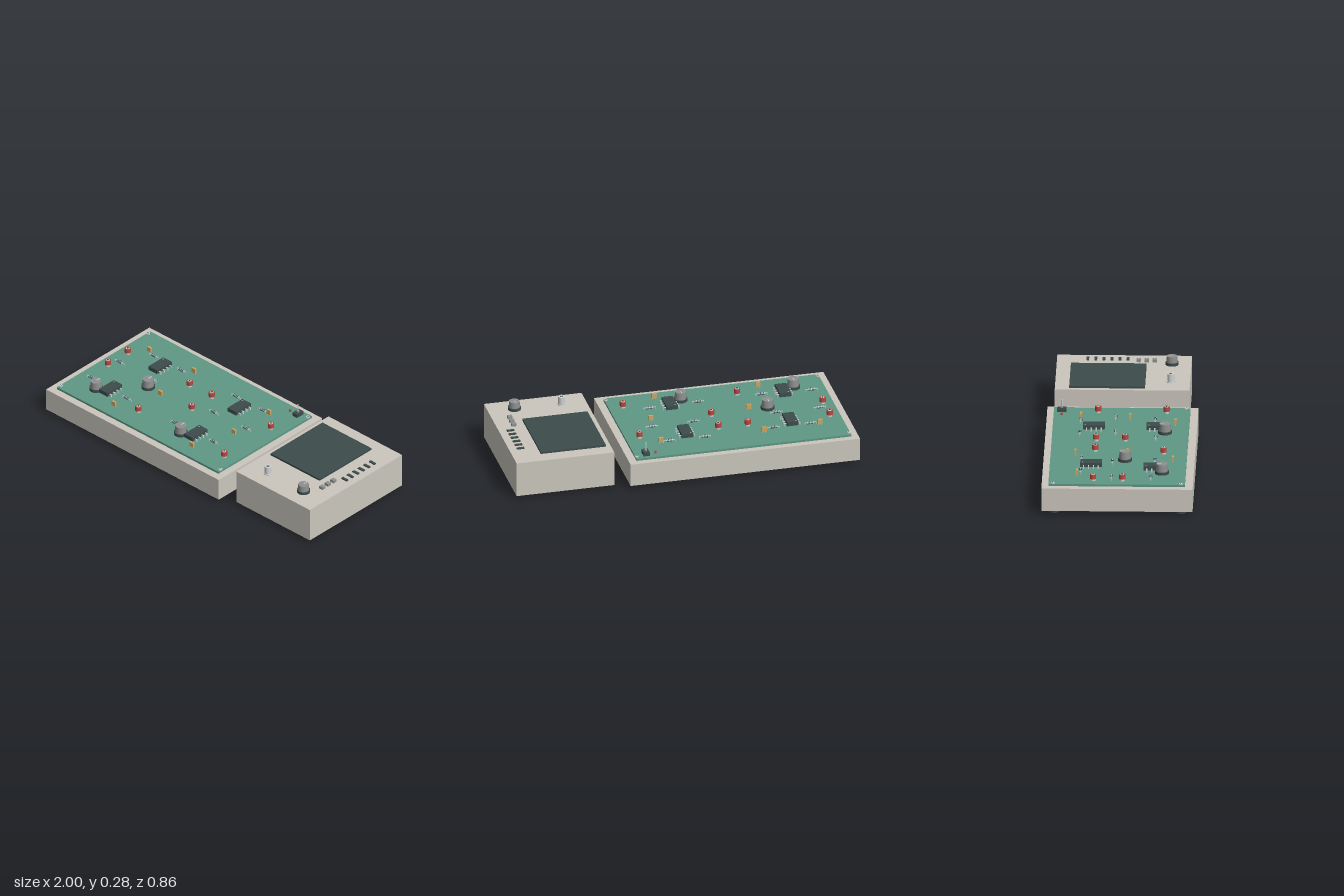
import * as THREE from 'three';

const mat = (name, color) => {
  const m = new THREE.MeshStandardMaterial({ color });
  m.name = name;
  return m;
};

export function createModel() {
  const beige = mat('case beige', 0xcbc7bd);
  const green = mat('board green', 0x5f9886);
  const dark = mat('dark plastic', 0x3d4b4c);
  const grey = mat('metal grey', 0x8f9190);
  const silver = mat('light metal', 0xcfd2d0);
  const red = mat('terminal red', 0xb8483f);
  const tan = mat('capacitor tan', 0xcfa55f);
  const blue = mat('resistor blue', 0xa9bfc4);
  const root = new THREE.Group();
  root.name = 'trainerBoardAndMeter';

  const group = (name, x, y, z, parent = root) => {
    const g = new THREE.Group();
    g.name = name;
    g.position.set(x, y, z);
    parent.add(g);
    return g;
  };
  // Boxes and cylinders stand on the given y
  const box = (name, m, w, h, d, x, y, z, parent = root) => {
    const o = new THREE.Mesh(new THREE.BoxGeometry(w, h, d), m);
    o.name = name;
    o.position.set(x, y + h / 2, z);
    parent.add(o);
    return o;
  };
  const cyl = (name, m, r0, r1, h, x, y, z, parent = root, sides = 20) => {
    const o = new THREE.Mesh(new THREE.CylinderGeometry(r1, r0, h, sides), m);
    o.name = name;
    o.position.set(x, y + h / 2, z);
    parent.add(o);
    return o;
  };

  // Wide case with its circuit board
  const B = 0.168;
  box('boardCase', beige, 1.342, 0.135, 0.858, -0.329, 0.02, 0);
  box('circuitBoard', green, 1.256, 0.013, 0.775, -0.33, 0.155, -0.003);
  for (const x of [-0.945, 0.29]) for (const z of [-0.358, 0.36]) cyl('foot', dark, 0.033, 0.036, 0.02, x, 0, z);
  for (const x of [-0.949, 0.291]) for (const z of [-0.365, 0.36]) {
    cyl('screw', silver, 0.011, 0.011, 0.006, x, B, z);
    box('screwSlot', dark, 0.014, 0.001, 0.003, x, B + 0.006, z);
  }

  // Chips with four legs on each long side
  for (const [x, z] of [[-0.66, -0.155], [-0.045, -0.155], [-0.708, 0.205], [-0.045, 0.205]]) {
    const g = group('chip', x, B, z);
    box('chipBody', dark, 0.066, 0.024, 0.123, 0, 0.006, 0, g);
    cyl('chipMark', grey, 0.005, 0.005, 0.001, -0.02, 0.03, -0.048, g, 10);
    for (const s of [-1, 1]) for (let i = 0; i < 4; i++) {
      const pz = -0.042 + i * 0.028;
      box('legShoulder', silver, 0.014, 0.003, 0.007, s * 0.039, 0.014, pz, g);
      box('legPin', silver, 0.003, 0.017, 0.007, s * 0.0455, 0, pz, g);
    }
  }

  // Rotary knobs
  const knob = (name, x, y, z, h, r) => {
    const g = group(name, x, y, z);
    cyl('knobSkirt', dark, r, r, 0.016, 0, 0.003, 0, g, 28);
    cyl('knobCollar', dark, r * 0.7, r * 0.7, 0.003, 0, 0, 0, g);
    cyl('knobCap', grey, r * 0.86, r * 0.82, h - 0.019, 0, 0.019, 0, g, 28);
    box('knobPointer', silver, 0.005, 0.002, r * 0.7, 0, h, -r * 0.4, g);
  };
  for (const [x, z] of [[-0.575, 0.035], [-0.778, 0.25], [-0.12, 0.25]]) knob('boardKnob', x, B, z, 0.062, 0.039);

  // Red test terminals with a pale ring and a dark hole
  const terminals = [[-0.895, -0.138], [-0.415, -0.138], [-0.243, -0.138], [0.217, -0.138],
    [-0.895, 0.027], [-0.243, 0.027], [-0.45, 0.25], [0.217, 0.25]];
  for (const [x, z] of terminals) {
    const g = group('terminal', x, B, z);
    cyl('terminalBase', silver, 0.014, 0.014, 0.012, 0, 0, 0, g);
    cyl('terminalBody', red, 0.018, 0.018, 0.026, 0, 0.012, 0, g);
    cyl('terminalRing', silver, 0.011, 0.011, 0.002, 0, 0.038, 0, g);
    cyl('terminalHole', dark, 0.006, 0.006, 0.001, 0, 0.04, 0, g);
  }

  // Upright film capacitors
  for (const [x, z] of [[-0.815, -0.232], [-0.484, -0.248], [0.115, -0.232], [-0.468, 0.047],
    [0.104, 0.047], [-0.585, 0.307], [0.02, 0.307]]) {
    const g = group('capacitor', x, B, z);
    box('capacitorBody', tan, 0.028, 0.028, 0.012, 0, 0.008, 0, g);
    for (const s of [-1, 1]) cyl('capacitorLead', silver, 0.002, 0.002, 0.008, s * 0.009, 0, 0, g, 6);
  }

  // Banded resistors lying along x
  for (const [x, z] of [[-0.762, -0.213], [-0.548, -0.213], [-0.142, -0.232], [0.067, -0.232],
    [-0.863, -0.035], [-0.61, -0.035], [-0.126, -0.03], [0.12, -0.035],
    [-0.87, 0.19], [-0.58, 0.205], [-0.21, 0.2], [0.078, 0.19]]) {
    const g = group('resistor', x, B + 0.012, z);
    const lying = (name, m, r, len, px) => {
      const o = cyl(name, m, r, r, len, 0, 0, 0, g, 12);
      o.position.set(px, 0, 0);
      o.rotation.z = Math.PI / 2;
    };
    lying('resistorBody', blue, 0.008, 0.04, 0);
    lying('resistorLead', silver, 0.002, 0.07, 0);
    for (const px of [-0.013, -0.004, 0.005, 0.014]) lying('resistorBand', dark, 0.0085, 0.004, px);
    for (const s of [-1, 1]) cyl('resistorLeg', silver, 0.002, 0.002, 0.013, s * 0.034, -0.012, 0, g, 6);
  }

  // Power switch and indicator lamp
  const sw = group('powerSwitch', 0.233, B, -0.345);
  box('switchBody', dark, 0.036, 0.022, 0.052, 0, 0, 0, sw);
  cyl('switchBush', grey, 0.008, 0.008, 0.008, 0, 0.022, 0, sw);
  cyl('switchLever', silver, 0.003, 0.004, 0.048, 0, 0.024, 0, sw, 10);
  cyl('indicatorLamp', red, 0.007, 0.006, 0.012, 0.175, B, -0.343);

  // Meter box with screen, keys, slots, knob and socket
  const M = 0.226;
  box('meterCase', beige, 0.571, M - 0.018, 0.765, 0.7135, 0.018, -0.008);
  box('screen', dark, 0.38, 0.012, 0.43, 0.647, M, -0.094);
  for (let i = 0; i < 6; i++) box('menuKey', dark, 0.043, 0.006, 0.016, 0.933, M, -0.216 + i * 0.0458);
  for (let i = 0; i < 3; i++) box('pushButton', grey, 0.027, 0.016, 0.025, 0.9, M, 0.073 + i * 0.046);
  knob('meterKnob', 0.848, M, 0.265, 0.055, 0.037);

  const s = group('coaxSocket', 0.572, M, 0.265);
  cyl('socketFlange', silver, 0.025, 0.025, 0.005, 0, 0, 0, s, 24);
  cyl('socketBarrel', silver, 0.02, 0.02, 0.045, 0, 0.005, 0, s, 24);
  cyl('socketHole', dark, 0.008, 0.008, 0.001, 0, 0.05, 0, s);
  cyl('socketPin', silver, 0.003, 0.003, 0.006, 0, 0.05, 0, s, 10);

  return root;
}
